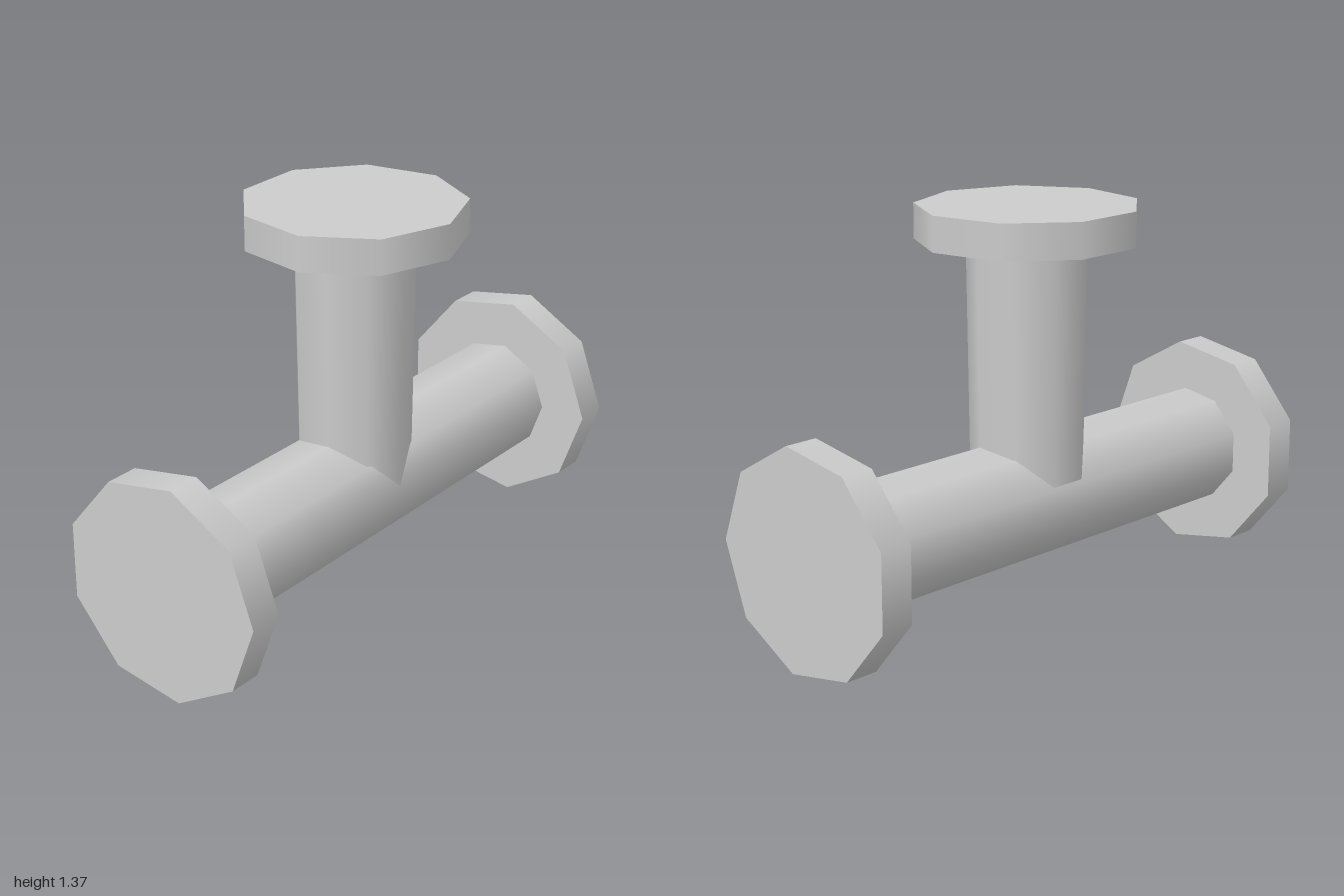
import * as THREE from 'three';

const SIDES = 9;
const CENTRE_X = -0.0115; // puts the nine-sided outline's bounds on centre
const AXIS_Y = 0.375;     // height of the main pipe's axis
const PIPE_R = 0.205;
const FLANGE_R = 0.378;
const FLANGE_T = 0.12;
const TOP = 1.375;

const material = new THREE.MeshStandardMaterial({ color: 0xcccccc });

// Nine-sided smooth cylinder with one corner pointing to +x
function tube(name, rTop, rBottom, length, open) {
  const geometry = new THREE.CylinderGeometry(rTop, rBottom, length, SIDES, 1, open, Math.PI / 2);
  const mesh = new THREE.Mesh(geometry, material);
  mesh.name = name;
  return mesh;
}

export function createModel() {
  const group = new THREE.Group();
  group.name = 'pipeTee';

  // Main pipe along z
  const mainPipe = tube('mainPipe', PIPE_R, PIPE_R, 2 - 2 * FLANGE_T, true);
  mainPipe.rotation.x = Math.PI / 2;
  mainPipe.position.set(CENTRE_X, AXIS_Y, 0);
  group.add(mainPipe);

  // End flanges
  for (const [name, side] of [['frontFlange', 1], ['backFlange', -1]]) {
    const flange = tube(name, FLANGE_R, FLANGE_R, FLANGE_T, false);
    flange.rotation.x = Math.PI / 2;
    flange.position.set(CENTRE_X, AXIS_Y, side * (1 - FLANGE_T / 2));
    group.add(flange);
  }

  // Slightly tapered branch rising from the main pipe's axis
  const branchTop = TOP - FLANGE_T;
  const branch = tube('branchPipe', 0.206, 0.195, branchTop - AXIS_Y, true);
  branch.position.set(CENTRE_X, (branchTop + AXIS_Y) / 2, 0);
  group.add(branch);

  // Branch flange
  const topFlange = tube('topFlange', FLANGE_R, FLANGE_R, FLANGE_T, false);
  topFlange.position.set(CENTRE_X, TOP - FLANGE_T / 2, 0);
  group.add(topFlange);

  return group;
}
